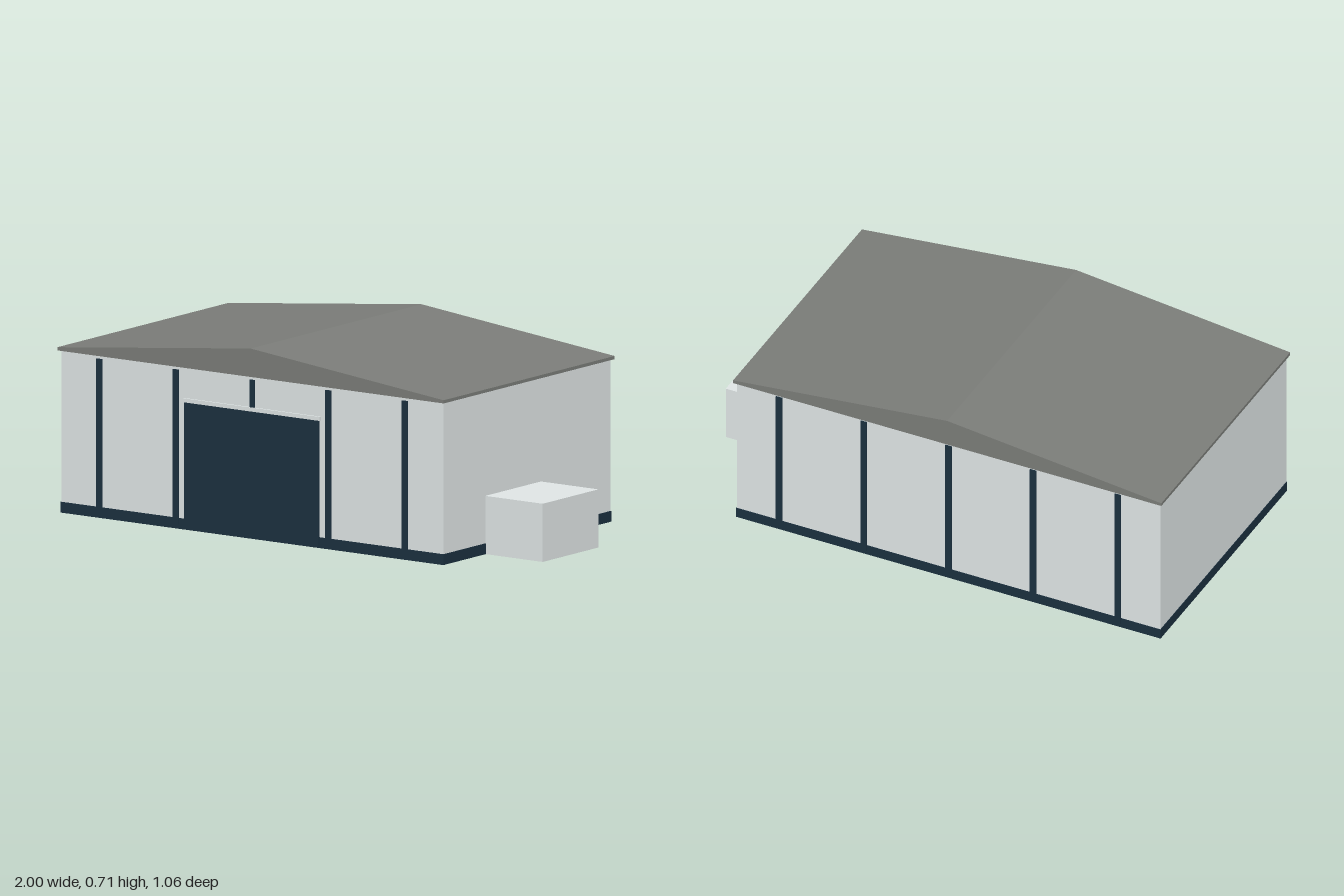
import * as THREE from 'three';

export function createModel() {
  const model = new THREE.Group();
  const material = (name, color) => {
    const m = new THREE.MeshStandardMaterial({ color });
    m.name = name;
    return m;
  };
  const navy = material('dark navy trim', 0x1b303f);
  const wall = material('light grey cladding', 0xe0e6e6);
  const roofGrey = material('roof grey', 0x7b7d79);

  // Box given by its minimum and maximum corners
  const box = (name, mat, [x0, y0, z0], [x1, y1, z1], parent = model) => {
    const mesh = new THREE.Mesh(new THREE.BoxGeometry(x1 - x0, y1 - y0, z1 - z0), mat);
    mesh.position.set((x0 + x1) / 2, (y0 + y1) / 2, (z0 + z1) / 2);
    mesh.name = name;
    parent.add(mesh);
    return mesh;
  };

  const centreX = -0.125;

  // Plinth and hall body, both standing on the ground
  box('plinth', navy, [-0.992, 0, -0.522], [0.742, 0.04, 0.523]);
  box('walls', wall, [-0.99, 0, -0.52], [0.74, 0.607, 0.52]);

  // Low gabled roof with a thin eave edge, ridge running front to back
  const profile = new THREE.Shape([
    [-1, 0.605], [0.75, 0.605], [0.75, 0.617], [centreX, 0.711], [-1, 0.617],
  ].map(([x, y]) => new THREE.Vector2(x, y)));
  const roof = new THREE.Mesh(
    new THREE.ExtrudeGeometry(profile, { depth: 1.064, bevelEnabled: false }), roofGrey);
  roof.position.z = -0.532;
  roof.name = 'roof';
  model.add(roof);

  // Posts on the front and back; the middle front one stops above the door
  const posts = new THREE.Group();
  posts.name = 'posts';
  model.add(posts);
  for (let i = -2; i <= 2; i++) {
    const x = centreX + i * 0.346;
    const half = i === 0 ? 0.011 : 0.013;
    box('frontPost', navy, [x - half, i === 0 ? 0.49 : 0.015, 0.515],
      [x + half, 0.593, 0.5245], posts);
    box('backPost', navy, [x - 0.013, 0.015, -0.5235], [x + 0.013, 0.593, -0.515], posts);
  }

  // Large door with its rail above
  box('door', navy, [-0.43, 0.002, 0.515], [0.18, 0.475, 0.527]);
  box('doorRail', wall, [-0.435, 0.475, 0.515], [0.185, 0.49, 0.527]);

  // Small annex on the side
  box('annex', wall, [0.735, 0, -0.087], [1, 0.217, 0.259]);

  return model;
}
